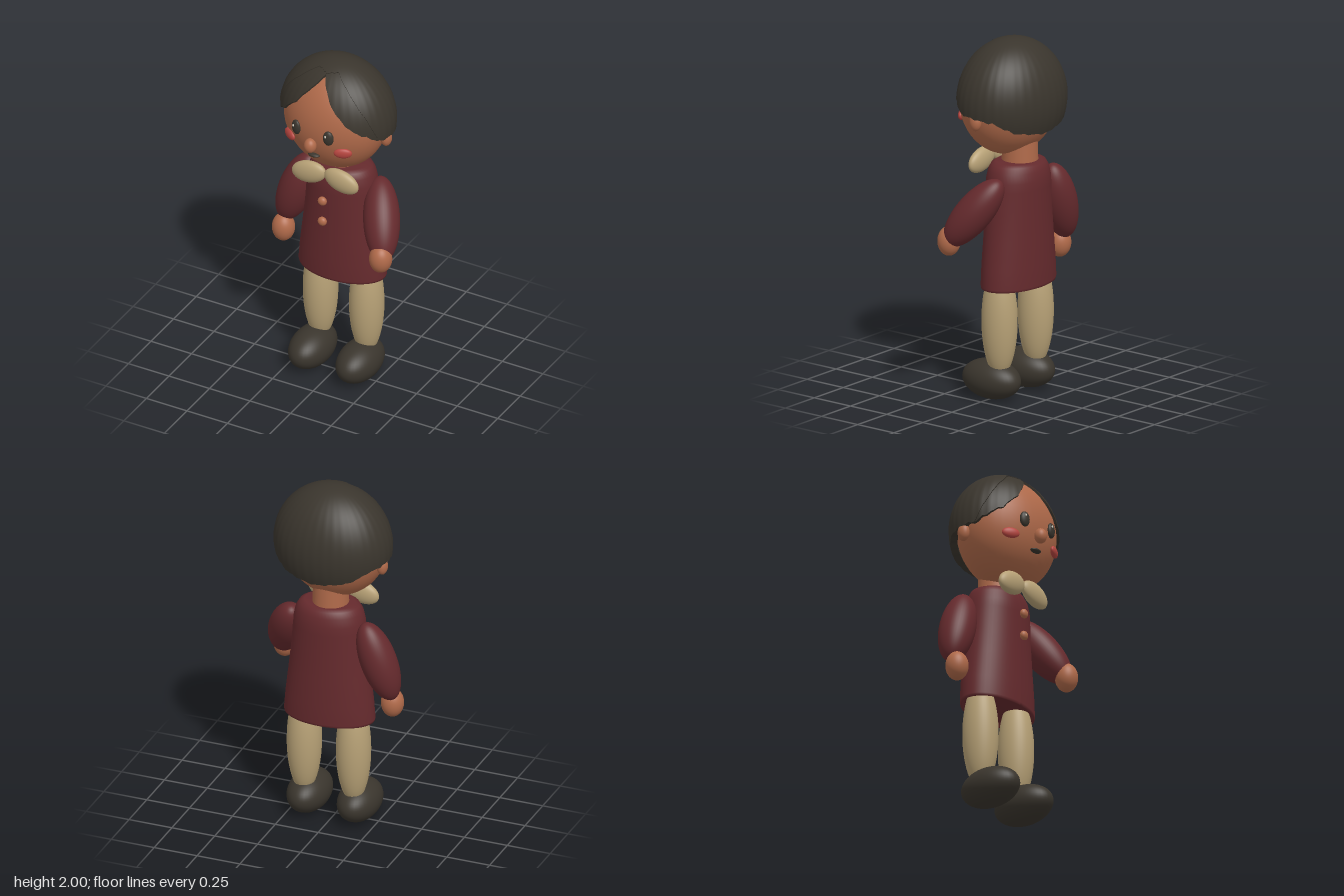
import * as THREE from 'three';

const mat = (name, color, side = THREE.FrontSide) => {
  const m = new THREE.MeshStandardMaterial({ color, side });
  m.name = name;
  return m;
};

// Linear interpolation through [angle, value] pairs
function lookup(table, a) {
  for (let i = 1; i < table.length; i++) {
    const [a0, v0] = table[i - 1], [a1, v1] = table[i];
    if (a <= a1) return v0 + (v1 - v0) * (a - a0) / (a1 - a0);
  }
  return table[table.length - 1][1];
}

// Hair shell: an ellipsoid cap whose lower edge follows a table of
// azimuth (0 = front) against polar angle, closed inward by a rim
function hairShell(edge, scale, jag) {
  const cols = 144, rows = 28, pos = [], idx = [];
  for (let j = 0; j <= rows + 2; j++) {
    const s = scale * (j === rows + 2 ? 0.88 : 1);
    for (let i = 0; i < cols; i++) {
      const phi = (i / cols) * Math.PI * 2 - Math.PI;
      const strands = jag * (Math.sin(phi * 23) + 0.7 * Math.sin(phi * 41 + 1));
      const end = lookup(edge, Math.abs(phi)) + strands;
      const t = end * Math.min(j / rows, 1);
      const rib = s * (1 + 0.003 * Math.sin(phi * 36) * Math.sin(t));
      pos.push(0.335 * rib * Math.sin(t) * Math.sin(phi),
        0.34 * s * Math.cos(t),
        0.27 * rib * Math.sin(t) * Math.cos(phi));
      if (j < rows + 2) {
        const a = j * cols + i, b = j * cols + (i + 1) % cols;
        idx.push(a, a + cols, b, b, a + cols, b + cols);
      }
    }
  }
  const g = new THREE.BufferGeometry();
  g.setAttribute('position', new THREE.Float32BufferAttribute(pos, 3));
  g.setIndex(idx);
  g.computeVertexNormals();
  return g;
}

export function createModel() {
  const skin = mat('skin', 0xb06a4a);
  const coat = mat('coat red', 0x652a2d, THREE.DoubleSide);
  const cream = mat('cream', 0xb7a176);
  const dark = mat('dark brown', 0x3a352d);
  const hair = mat('hair', 0x3a352d, THREE.DoubleSide);
  const blush = mat('blush', 0xb5453f);
  const white = mat('eye glint', 0xd8d2c4);

  const model = new THREE.Group();
  const ball = new THREE.SphereGeometry(1, 40, 28);
  const add = (parent, name, geo, m, p = [0, 0, 0]) => {
    const mesh = new THREE.Mesh(geo, m);
    mesh.name = name;
    mesh.position.set(...p);
    parent.add(mesh);
    return mesh;
  };
  const blob = (parent, name, m, p, r) => {
    const mesh = add(parent, name, ball, m, p);
    mesh.scale.set(...r);
    return mesh;
  };

  // Coat: flared sides, constant depth, recessed underside
  const profile = [[0, 0.67], [0.22, 0.665], [0.24, 0.64], [0.248, 0.63], [0.256, 0.632], [0.259, 0.645],
    [0.25, 0.75], [0.232, 0.9], [0.215, 1.05], [0.205, 1.18], [0.2, 1.23], [0.188, 1.28], [0.168, 1.312],
    [0.14, 1.325], [0, 1.327]];
  const body = new THREE.LatheGeometry(profile.map(p => new THREE.Vector2(...p)), 56);
  const bp = body.attributes.position;
  for (let i = 0; i < bp.count; i++) {
    const flare = 0.256 - 0.056 * Math.min(1, (bp.getY(i) - 0.63) / 0.6);
    bp.setZ(i, bp.getZ(i) * 0.157 / flare);
  }
  body.computeVertexNormals();
  add(model, 'coat', body, coat, [0.008, 0, -0.066]);
  for (const y of [1.155, 1.025]) blob(model, 'button', skin, [-0.01, y, 0.13], [0.026, 0.026, 0.02]);

  // Neck and rounded collar
  add(model, 'neck', new THREE.CylinderGeometry(0.095, 0.1, 0.2, 32), skin, [0, 1.39, -0.07]);
  for (const s of [-1, 1]) {
    const flap = blob(model, 'collarFlap', cream, [s * 0.1, 1.31, 0.115], [0.106, 0.066, 0.038]);
    flap.rotation.z = -s * 0.25;
  }

  // Arms: one hangs, the other reaches forward
  const up = new THREE.Vector3(0, 1, 0);
  const arm = (side, centre, dir, hand) => {
    const sleeve = blob(model, side + 'Sleeve', coat, centre, [0.1, 0.235, 0.1]);
    const axis = new THREE.Vector3(...dir).normalize();
    sleeve.quaternion.setFromUnitVectors(up, axis);
    blob(model, side + 'Hand', skin, hand, [0.063, 0.082, 0.063]);
  };
  arm('right', [-0.293, 1.03, -0.105], [0.33, 0.94, -0.05], [-0.355, 0.772, -0.06]);
  arm('left', [0.292, 1.07, 0.015], [-0.33, 0.78, -0.53], [0.354, 0.905, 0.137]);

  // Legs and shoes
  for (const [side, x, z] of [['right', -0.133, -0.072], ['left', 0.16, -0.057]]) {
    blob(model, side + 'Leg', cream, [x, 0.45, z], [0.095, 0.32, 0.1]);
    blob(model, side + 'Shoe', dark, [x - 0.007, 0.11, 0.003], [0.114, 0.11, 0.182]);
  }

  // Head, turned a little toward its right
  const head = new THREE.Group();
  head.name = 'head';
  head.position.set(0.003, 1.66, 0);
  head.rotation.y = -0.085;
  model.add(head);
  blob(head, 'skull', skin, [0, 0, 0], [0.3, 0.312, 0.242]);
  blob(head, 'nose', skin, [0, -0.08, 0.25], [0.035, 0.043, 0.035]);
  blob(head, 'mouth', dark, [0, -0.157, 0.212], [0.036, 0.012, 0.024]);
  for (const s of [-1, 1]) {
    blob(head, 'ear', skin, [s * 0.303, -0.072, -0.035], [0.03, 0.05, 0.035]);
    const eye = blob(head, 'eye', dark, [s * 0.104, -0.008, 0.23], [0.03, 0.044, 0.018]);
    eye.rotation.y = s * 0.25;
    blob(head, 'eyeGlint', white, [s * 0.104 - 0.008, 0.008, 0.248], [0.006, 0.007, 0.004]);
    const cheek = blob(head, 'cheek', blush, [s * 0.172, -0.1, 0.19], [0.05, 0.03, 0.018]);
    cheek.rotation.y = s * 0.5;
  }

  // Hair: parted fringe underneath, back cap layered over it
  const back = [[1.29, 1.69], [1.6, 1.7], [2.1, 1.76], [2.5, 1.95], [3.15, 2.05]];
  const fringe = [[0, 0.46], [0.2, 0.77], [0.43, 1.13], [0.726, 1.42], ...back];
  const cap = [[0, 0.45], [0.2, 0.4], [0.53, 0.37], [0.85, 0.93], [1.18, 1.52], ...back];
  add(head, 'fringe', hairShell(fringe, 0.985, 0.012), hair, [0.003, 0, -0.017]);
  add(head, 'hairCap', hairShell(cap, 1, 0.01), hair, [0.003, 0, -0.017]);

  return model;
}
